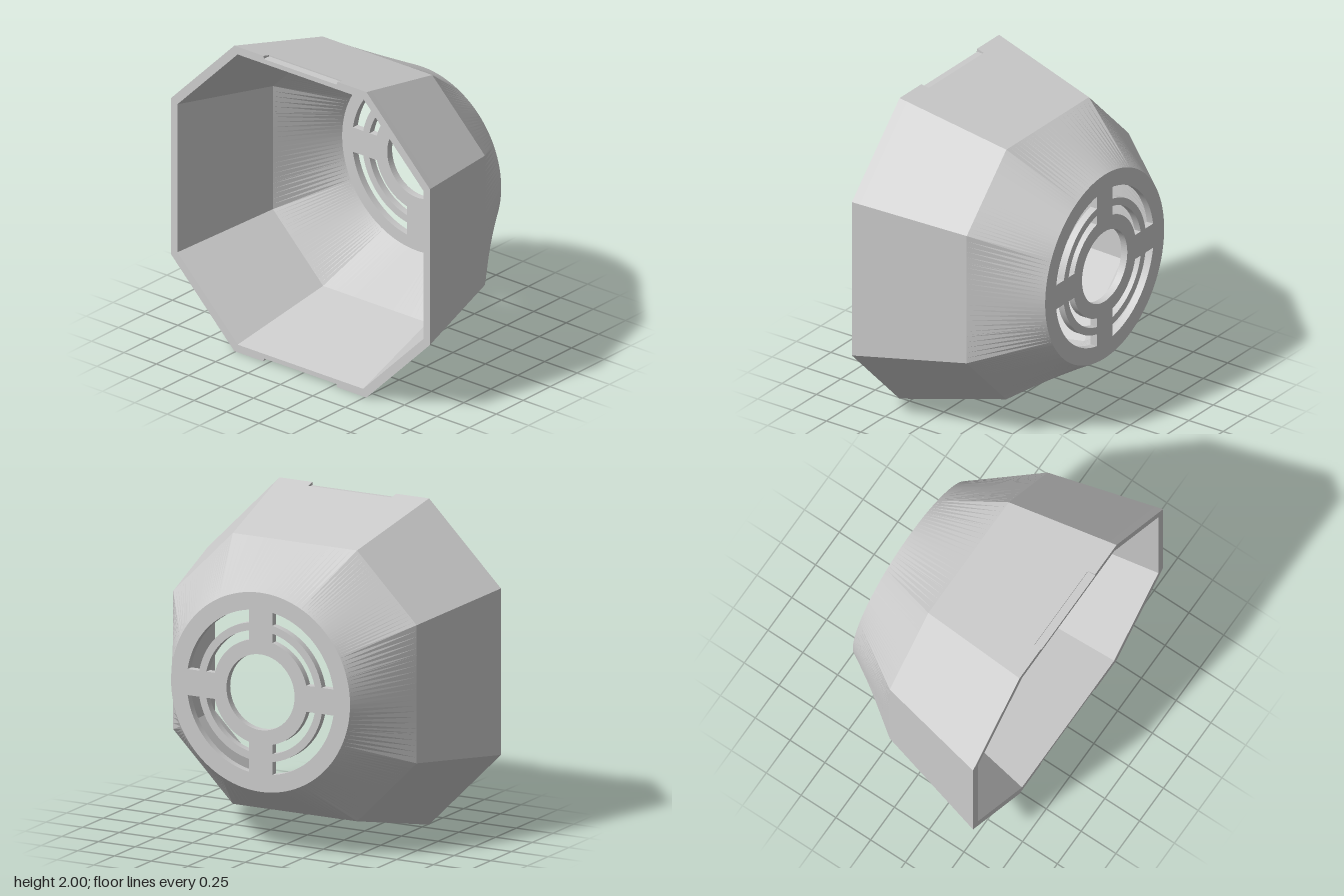
import * as THREE from 'three';

const CORNER = 0.51;       // corner offset relative to the half width
const NOTCH = 0.56;        // notch half length relative to the edge half length
const CORNERS = [[1, -1], [1, 1], [1, 1], [-1, 1], [-1, 1], [-1, -1], [-1, -1], [1, -1]]
  .map(([sx, sy], i) => (i % 4 < 2 ? [sx, sy * CORNER] : [sx * CORNER, sy]));

// Positions along one edge, with doubled points where the notch steps down
const STEPS = [];
for (let i = 0; i < 24; i++) STEPS.push({ t: -1 + i / 12, cut: Math.abs(-1 + i / 12) < NOTCH });
for (const t of [-NOTCH, NOTCH]) STEPS.push({ t, cut: t < 0 }, { t, cut: t > 0 });
STEPS.sort((a, b) => a.t - b.t || (a.t < 0 ? a.cut - b.cut : b.cut - a.cut));

// One closed loop: calls fn(edge, fraction, cut) for every point
function loop(z, fn) {
  const pts = [];
  for (let e = 0; e < 8; e++) {
    for (const s of STEPS) {
      const [x, y] = fn(e, (s.t + 1) / 2, s.cut);
      pts.push(new THREE.Vector3(x, y, z));
    }
  }
  return pts;
}

function octagon(half, z, notchFloor) {
  return loop(z, (e, f, cut) => {
    const a = CORNERS[e], b = CORNERS[(e + 1) % 8];
    const x = half * (a[0] + (b[0] - a[0]) * f);
    const y = half * (a[1] + (b[1] - a[1]) * f);
    // only the top and bottom edges are notched
    return notchFloor && cut && e % 4 === 2 ? [x, Math.sign(y) * notchFloor] : [x, y];
  });
}

function circle(r, z) {
  const c = Math.atan(CORNER);
  return loop(z, (e, f) => {
    const start = Math.floor(e / 2) * Math.PI / 2 + (e % 2 ? c : -c);
    const angle = start + f * (e % 2 ? Math.PI / 2 - 2 * c : 2 * c);
    return [r * Math.cos(angle), r * Math.sin(angle)];
  });
}

// Skin the loops in order with flat faces
function skin(loops) {
  const pos = [];
  const tri = (a, b, c) => {
    const area = b.clone().sub(a).cross(c.clone().sub(a)).length();
    if (area > 1e-8) for (const p of [a, b, c]) pos.push(p.x, p.y, p.z);
  };
  for (let k = 0; k < loops.length - 1; k++) {
    const A = loops[k], B = loops[k + 1];
    for (let i = 0; i < A.length; i++) {
      const j = (i + 1) % A.length;
      tri(A[i], B[i], A[j]);
      tri(B[i], B[j], A[j]);
    }
  }
  const g = new THREE.BufferGeometry();
  g.setAttribute('position', new THREE.Float32BufferAttribute(pos, 3));
  g.computeVertexNormals();
  return g;
}

// Quarter-ring slot with straight ends parallel to the cross bars
function slot(r0, r1, gap, turn) {
  const a0 = Math.asin(gap / r0), a1 = Math.asin(gap / r1), q = Math.PI / 2;
  const path = new THREE.Path();
  path.absarc(0, 0, r1, turn + a1, turn + q - a1, false);
  path.absarc(0, 0, r0, turn + q - a0, turn + a0, true);
  path.closePath();
  return path;
}

export function createModel() {
  const group = new THREE.Group();
  const material = new THREE.MeshStandardMaterial({ color: 0xcccccc });
  const add = (name, geometry) => {
    const mesh = new THREE.Mesh(geometry, material);
    mesh.name = name;
    mesh.position.y = 1;
    group.add(mesh);
    return mesh;
  };

  // Hollow octagonal shell, from the inside over the rim to the round back
  add('octagonalShell', skin([
    circle(0.58, -0.52),
    octagon(0.79, -0.13),
    octagon(0.95, 0.565),
    octagon(1, 0.565, 0.98),
    octagon(0.988, 0.515, 0.98),
    octagon(0.988, 0.515),
    octagon(0.83, -0.15),
    circle(0.61, -0.565),
    circle(0.58, -0.565),
  ]));

  // Back plate with a centre hole and two rows of vent slots
  const plate = new THREE.Shape();
  plate.absarc(0, 0, 0.585, 0, Math.PI * 2, false);
  const hole = new THREE.Path();
  hole.absarc(0, 0, 0.232, 0, Math.PI * 2, true);
  plate.holes.push(hole);
  for (let k = 0; k < 4; k++) {
    plate.holes.push(slot(0.425, 0.503, 0.08, k * Math.PI / 2));
    plate.holes.push(slot(0.322, 0.378, 0.08, k * Math.PI / 2));
  }
  const plateGeometry = new THREE.ExtrudeGeometry(plate, { depth: 0.045, bevelEnabled: false, curveSegments: 48 });
  add('ventPlate', plateGeometry).position.z = -0.565;

  return group;
}
